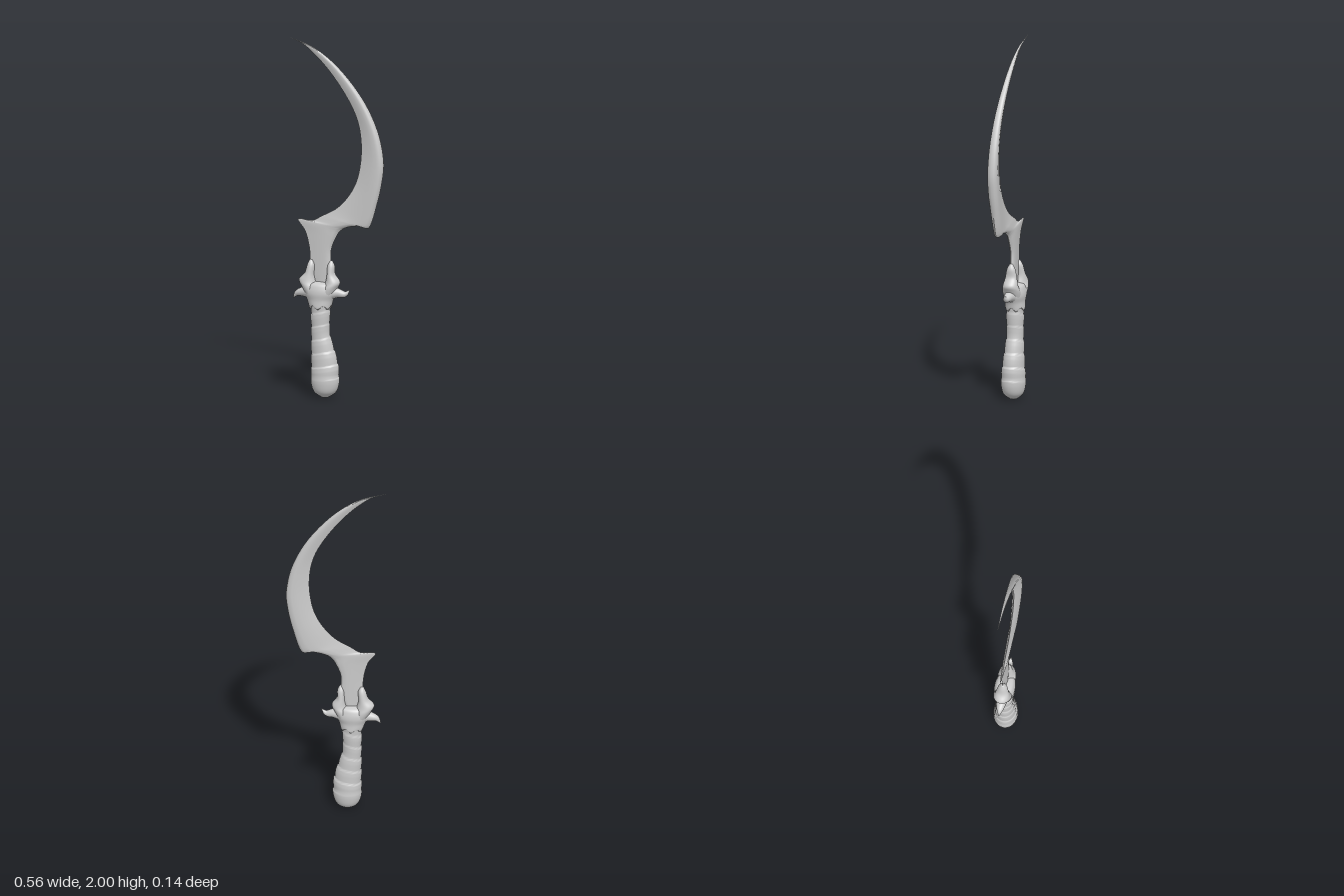
import * as THREE from 'three';
import { toCreasedNormals } from 'three/addons/utils/BufferGeometryUtils.js';

const material = new THREE.MeshStandardMaterial({ color: 0xcccccc });

// round cross-section, as (across, depth) pairs
const ROUND = Array.from({ length: 28 }, (_, i) => {
  const a = (i / 28) * Math.PI * 2;
  return [Math.cos(a), Math.sin(a)];
});
// blade cross-section: thick bevelled spine on the right, keen edge on the left
const half = [[0.93, 0.6], [0.78, 0.92], [0.45, 1], [0, 0.8], [-0.5, 0.45]];
const BLADE = [[1, 0], ...half, [-1, 0], ...half.slice().reverse().map(([u, v]) => [u, -v])];

// Station = [leftX, leftY, rightX, rightY, halfDepth]; smooths between stations
function smooth(stations, count) {
  const curve = (f) => new THREE.CatmullRomCurve3(stations.map(f), false, 'catmullrom', 0.5);
  const left = curve((s) => new THREE.Vector3(s[0], s[1], 0));
  const right = curve((s) => new THREE.Vector3(s[2], s[3], s[4]));
  return Array.from({ length: count + 1 }, (_, i) => {
    const l = left.getPoint(i / count), r = right.getPoint(i / count);
    return [l.x, l.y, r.x, r.y, Math.max(r.z, 0.001)];
  });
}

// Skins a closed cross-section over the stations and caps both ends
function loft(stations, profile, adjust) {
  const pos = [], index = [], n = profile.length, m = stations.length;
  stations.forEach(([lx, ly, rx, ry, d], i) => {
    profile.forEach(([u, v]) => {
      const p = new THREE.Vector3(
        (lx + rx) / 2 + ((rx - lx) / 2) * u,
        (ly + ry) / 2 + ((ry - ly) / 2) * u,
        -d * v
      );
      if (adjust) adjust(p, i / (m - 1), u, v);
      pos.push(p.x, p.y, p.z);
    });
  });
  for (let i = 0; i < m - 1; i++) {
    for (let j = 0; j < n; j++) {
      const a = i * n + j, b = i * n + ((j + 1) % n);
      index.push(a, b, b + n, a, b + n, a + n);
    }
  }
  for (const i of [0, m - 1]) {
    const [lx, ly, rx, ry] = stations[i];
    const c = pos.length / 3;
    pos.push((lx + rx) / 2, (ly + ry) / 2, 0);
    for (let j = 0; j < n; j++) {
      const a = i * n + j, b = i * n + ((j + 1) % n);
      if (i === 0) index.push(c, b, a);
      else index.push(c, a, b);
    }
  }
  const g = new THREE.BufferGeometry();
  g.setAttribute('position', new THREE.Float32BufferAttribute(pos, 3));
  g.setIndex(index);
  g.computeVertexNormals();
  return g;
}

// Stations of a tapering horn along a path of [x, y, radius]
function hornStations(path) {
  const curve = new THREE.CatmullRomCurve3(path.map(([x, y, r]) => new THREE.Vector3(x, y, r)));
  return Array.from({ length: 19 }, (_, i) => {
    const p = curve.getPoint(i / 18), t = curve.getTangent(i / 18);
    const len = Math.hypot(t.x, t.y), r = Math.max(p.z, 0.001);
    const nx = (t.y / len) * r, ny = (-t.x / len) * r;
    return [p.x - nx, p.y - ny, p.x + nx, p.y + ny, r];
  });
}

export function createModel() {
  const group = new THREE.Group();
  const add = (name, geometry) => {
    const mesh = new THREE.Mesh(geometry, material);
    mesh.name = name;
    group.add(mesh);
  };

  // curved blade with its tang, heel spur and back spur
  const blade = [
    [-0.12, 0.61, -0.07, 0.61, 0.012],
    [-0.15, 0.7, -0.03, 0.7, 0.013],
    [-0.155, 0.82, -0.03, 0.82, 0.013],
    [-0.18, 0.92, 0.0, 0.9, 0.014],
    [-0.222, 0.985, 0.025, 0.935, 0.014],
    [-0.14, 0.983, 0.065, 0.957, 0.016],
    [-0.087, 1.01, 0.14, 0.969, 0.018],
    [0.01, 1.065, 0.192, 0.965, 0.02],
    [0.087, 1.155, 0.235, 1.09, 0.024],
    [0.13, 1.26, 0.265, 1.22, 0.027],
    [0.146, 1.405, 0.274, 1.34, 0.027],
    [0.125, 1.55, 0.24, 1.5, 0.024],
    [0.06, 1.685, 0.156, 1.67, 0.019],
    [-0.055, 1.84, 0.02, 1.835, 0.013],
    [-0.18, 1.955, -0.125, 1.945, 0.007],
    [-0.28, 2.0, -0.276, 1.999, 0.001],
  ];
  add('blade', toCreasedNormals(loft(smooth(blade, 90), BLADE), 0.75));

  // grip swelling to a rounded pommel, with slanted overlapping wraps
  const grip = [
    [-0.085, 0.002, -0.045, 0.002, 0.02],
    [-0.125, 0.03, -0.005, 0.03, 0.053],
    [-0.143, 0.075, 0.013, 0.075, 0.066],
    [-0.145, 0.13, 0.015, 0.13, 0.067],
    [-0.145, 0.2, 0.008, 0.2, 0.061],
    [-0.146, 0.28, -0.015, 0.28, 0.054],
    [-0.145, 0.36, -0.038, 0.36, 0.048],
    [-0.147, 0.44, -0.038, 0.44, 0.049],
    [-0.148, 0.54, -0.035, 0.54, 0.05],
  ];
  add('grip', loft(smooth(grip, 110), ROUND, (p, t, u, v) => {
    if (p.y < 0.1) return;
    const band = (p.y - 0.1 - 0.012 * u) / 0.075;
    const step = 1 - 0.07 * (1 - Math.min(1, (band - Math.floor(band)) * 1.6)) * Math.min(1, (p.y - 0.1) / 0.03);
    p.x = -0.08 + (p.x + 0.08) * step;
    p.z *= step;
  }));

  // guard body, scalloped along its lower rim
  const guard = [
    [-0.148, 0.505, -0.034, 0.505, 0.049],
    [-0.155, 0.51, -0.028, 0.51, 0.055],
    [-0.168, 0.545, -0.018, 0.545, 0.054],
    [-0.185, 0.58, 0.0, 0.58, 0.058],
    [-0.185, 0.61, 0.0, 0.61, 0.054],
    [-0.165, 0.635, -0.015, 0.635, 0.042],
    [-0.12, 0.645, -0.065, 0.645, 0.012],
  ];
  add('guardBody', loft(smooth(guard, 36), ROUND, (p, t, u, v) => {
    p.y += 0.012 * Math.cos(6 * Math.atan2(v, u)) * Math.max(0, 1 - t * 2.5);
  }));

  // knuckled prongs gripping both edges of the tang
  const prongs = {
    rightProng: [
      [-0.165, 0.56, -0.09, 0.55, 0.045],
      [-0.2, 0.62, -0.107, 0.605, 0.05],
      [-0.214, 0.655, -0.117, 0.64, 0.043],
      [-0.182, 0.69, -0.127, 0.68, 0.034],
      [-0.168, 0.735, -0.125, 0.735, 0.024],
      [-0.155, 0.765, -0.138, 0.765, 0.008],
    ],
    leftProng: [
      [-0.09, 0.55, -0.02, 0.56, 0.045],
      [-0.077, 0.605, 0.008, 0.615, 0.05],
      [-0.062, 0.64, 0.02, 0.648, 0.043],
      [-0.053, 0.68, -0.008, 0.69, 0.034],
      [-0.05, 0.735, -0.01, 0.735, 0.024],
      [-0.037, 0.765, -0.022, 0.765, 0.008],
    ],
  };
  for (const [name, s] of Object.entries(prongs)) add(name, loft(smooth(s, 30), ROUND));

  // side horns: one drooping, one curling upward
  add('rightHorn', loft(hornStations([
    [-0.14, 0.585, 0.04], [-0.185, 0.583, 0.028], [-0.225, 0.573, 0.017], [-0.25, 0.545, 0.002],
  ]), ROUND));
  add('leftHorn', loft(hornStations([
    [-0.04, 0.585, 0.04], [0.005, 0.587, 0.027], [0.05, 0.583, 0.016], [0.077, 0.607, 0.002],
  ]), ROUND));

  return group;
}
